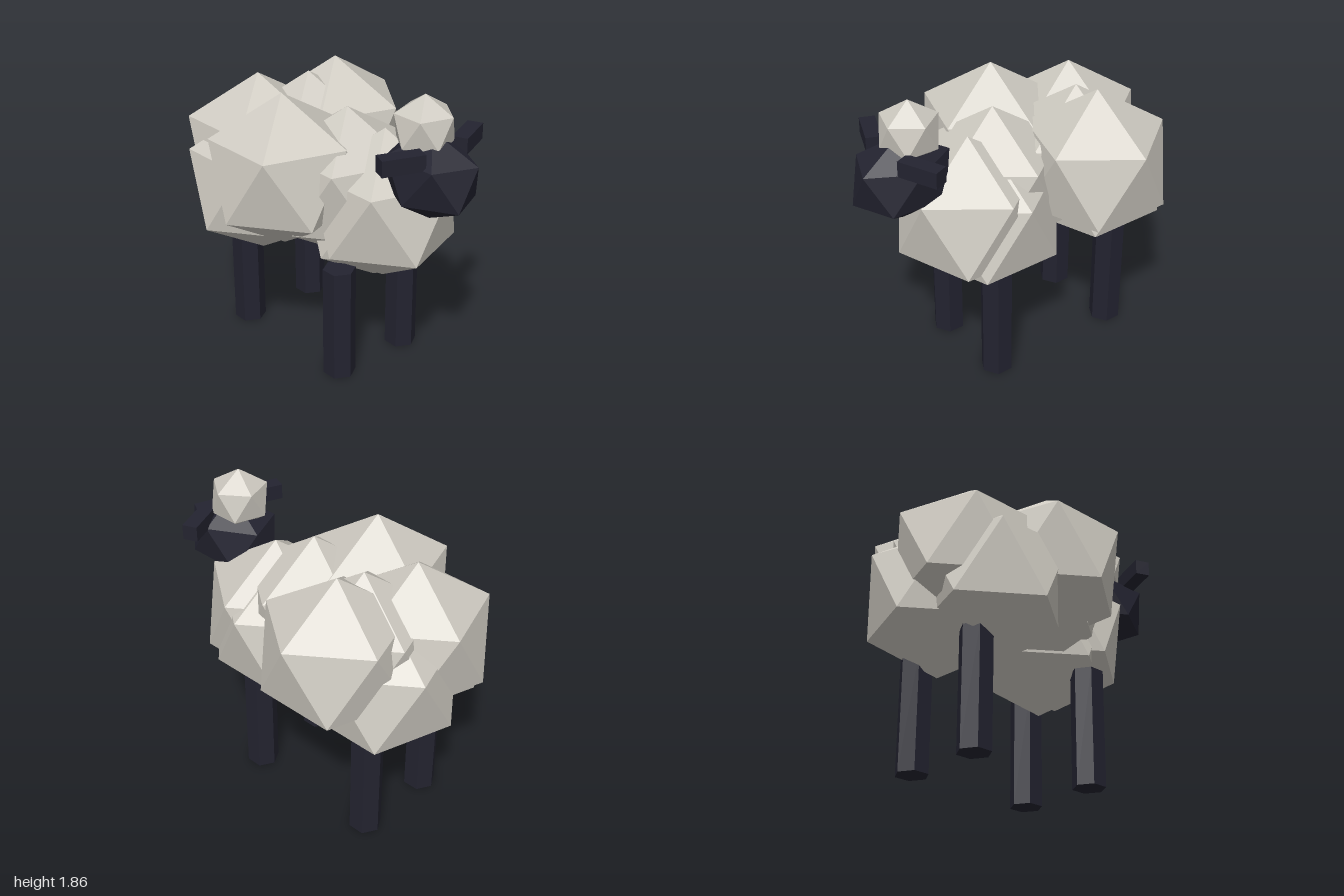
import * as THREE from 'three';

// Unit icosahedron standing on a vertex, with a pentagon ring above and below
function icoGeometry() {
  const h = 1 / Math.sqrt(5), r = 2 * h;
  const ring = (i, y, turn) => {
    const a = (i + turn) * Math.PI * 2 / 5;
    return [r * Math.cos(a), y, r * Math.sin(a)];
  };
  const U = i => ring(i, h, 0), L = i => ring(i, -h, 0.5);
  const p = [];
  for (let i = 0; i < 5; i++) {
    p.push([0, 1, 0], U(i + 1), U(i));
    p.push(U(i), U(i + 1), L(i));
    p.push(L(i), U(i + 1), L(i + 1));
    p.push([0, -1, 0], L(i), L(i + 1));
  }
  const g = new THREE.BufferGeometry();
  g.setAttribute('position', new THREE.Float32BufferAttribute(p.flat(), 3));
  g.computeVertexNormals();
  return g;
}

export function createModel() {
  const model = new THREE.Group();
  model.name = 'sheep';
  const wool = new THREE.MeshStandardMaterial({ color: 0xcfcbc2, flatShading: true });
  wool.name = 'wool';
  const dark = new THREE.MeshStandardMaterial({ color: 0x232330, flatShading: true });
  dark.name = 'darkSkin';

  const add = (name, geo, mat, x, y, z, parent = model) => {
    const m = new THREE.Mesh(geo, mat);
    m.name = name;
    m.position.set(x, y, z);
    parent.add(m);
    return m;
  };

  // Fleece: a cluster of equal faceted clumps
  const ico = icoGeometry();
  const fleece = new THREE.Group();
  fleece.name = 'fleece';
  model.add(fleece);
  const clumps = [
    ['rightClump', -0.33, 1.24, -0.14],
    ['leftClump', 0.325, 1.238, -0.415],
    ['rearClump', -0.145, 1.195, -0.592],
    ['lowerRightClump', -0.235, 1.04, -0.475],
    ['lowerRearClump', 0.12, 1.03, -0.58],
    ['centreClump', 0.12, 1.185, -0.43],
    ['shoulderClump', -0.02, 1.14, 0.075],
    ['bellyClump', 0.09, 1.003, 0.2],
    ['chestClump', 0.06, 1.055, 0.308],
  ];
  for (const [name, x, y, z] of clumps)
    add(name, ico, wool, x, y, z, fleece).scale.setScalar(0.48);

  // Head and its tuft of wool
  add('head', ico, dark, 0.01, 1.398, 0.722).scale.set(0.25, 0.263, 0.327);
  add('headTuft', ico, wool, 0.01, 1.665, 0.66).scale.setScalar(0.19);

  // Ears, swept slightly backwards
  const earGeo = new THREE.BoxGeometry(0.25, 0.095, 0.092);
  for (const s of [1, -1])
    add(s > 0 ? 'leftEar' : 'rightEar', earGeo, dark, 0.006 + s * 0.258, 1.558, 0.748)
      .rotation.y = s * 0.39;

  // Hexagonal legs
  const legGeo = new THREE.CylinderGeometry(0.1, 0.1, 0.72, 6);
  for (const [side, x] of [['Left', 0.268], ['Right', -0.253]])
    for (const [end, z] of [['front', 0.265], ['rear', -0.615]])
      add(end + side + 'Leg', legGeo, dark, x, 0.36, z);

  return model;
}
